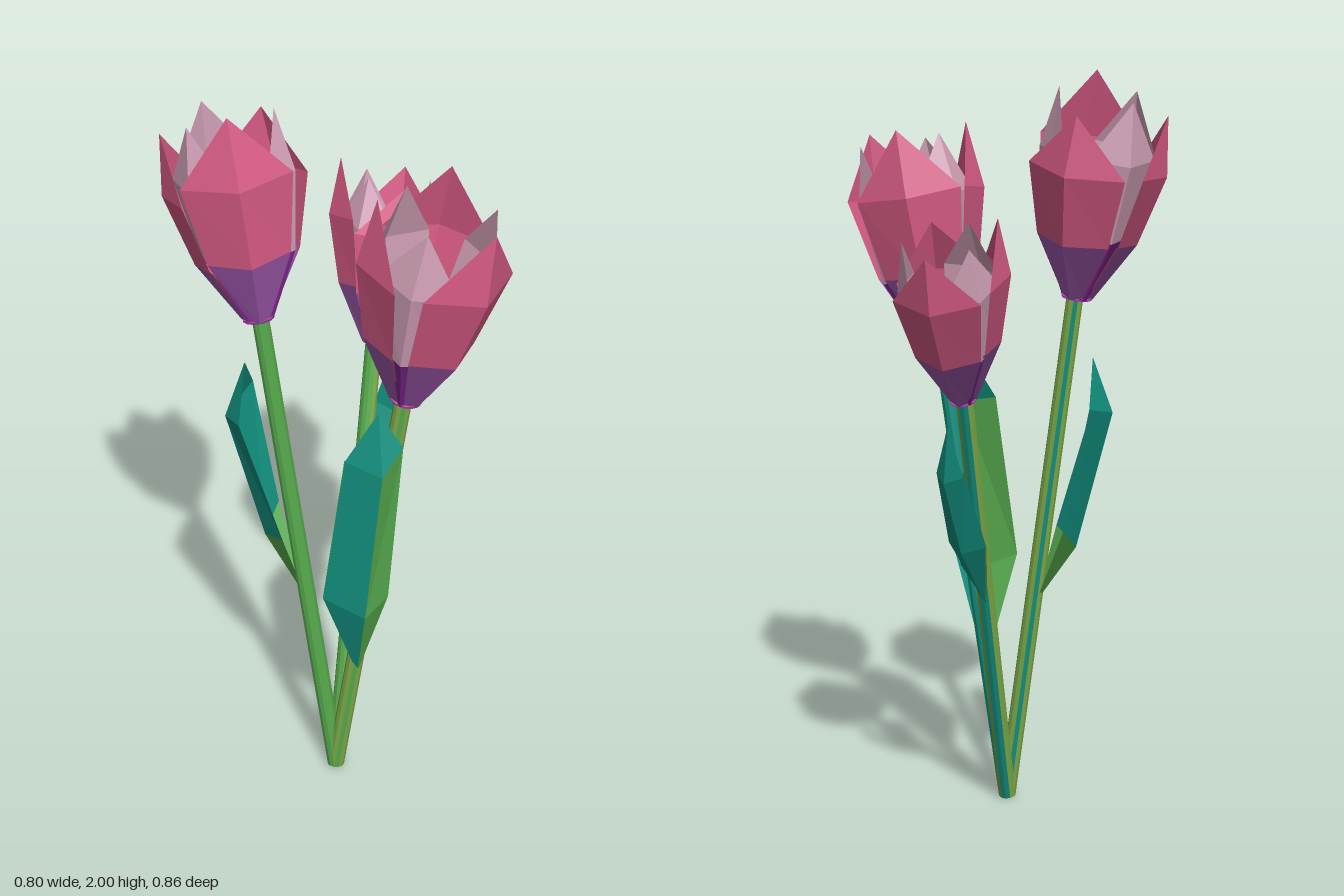
import * as THREE from 'three';

const mat = (name, color) =>
  new THREE.MeshStandardMaterial({ name, color, flatShading: true, side: THREE.DoubleSide });

export function createModel() {
  const M = {
    pink: mat('petal pink', 0xd95c86),
    pale: mat('pale pink', 0xd4a3ba),
    lilac: mat('light purple', 0xa05aae),
    purple: mat('deep purple', 0x8a2a9a),
    teal: mat('leaf teal', 0x12907f),
    green: mat('fresh green', 0x55a84c),
    olive: mat('olive green', 0x7fae4a),
  };
  const root = new THREE.Group();
  root.name = 'tulips';
  const UP = new THREE.Vector3(0, 1, 0);

  // Folded blade with rows of [left, mid, right], one material per strip half
  function blade(name, rows, mats) {
    const pos = [], geo = new THREE.BufferGeometry();
    const used = [...new Set(mats.flat())];
    for (let i = 0; i < rows.length - 1; i++) {
      for (let h = 0; h < 2; h++) {
        const a = rows[i], b = rows[i + 1], start = pos.length / 3;
        const q = [a[h], a[h + 1], b[h + 1], b[h]];
        for (const k of [0, 1, 2, 0, 2, 3]) pos.push(...q[k]);
        geo.addGroup(start, 6, used.indexOf(mats[i][h]));
      }
    }
    geo.setAttribute('position', new THREE.Float32BufferAttribute(pos, 3));
    geo.computeVertexNormals();
    const mesh = new THREE.Mesh(geo, used);
    mesh.name = name;
    return mesh;
  }
  const point = p => [p, p, p];

  // Twelve-sided stem with a colour letter for each side
  function stem(end, sides) {
    const a = new THREE.Vector3(-0.2, 0.006, 0), b = new THREE.Vector3(...end);
    const dir = b.clone().sub(a), geo = new THREE.CylinderGeometry(0.022, 0.024, dir.length(), 12);
    geo.clearGroups();
    [...sides].forEach((c, i) => geo.addGroup(i * 6, 6, 'otg'.indexOf(c)));
    geo.addGroup(72, 72, 2);
    const mesh = new THREE.Mesh(geo, [M.olive, M.teal, M.green]);
    mesh.name = 'stem';
    mesh.position.copy(a).add(b).multiplyScalar(0.5);
    mesh.quaternion.setFromUnitVectors(UP, dir.normalize());
    return mesh;
  }

  // One petal around the flower axis; profile entries are [height, radius, half angle]
  function petal(name, degrees, profile, stretch, main, base) {
    const phi = THREE.MathUtils.degToRad(degrees);
    const rowsAt = inset => profile.map(([y, r, half]) => [-half, 0, half].map(a => {
      const rad = (a ? r * 0.97 : r) - inset;
      return [rad * Math.cos(phi + a), (a ? y + 0.01 : y) * stretch, rad * Math.sin(phi + a)];
    }));
    const plain = [main, main], g = new THREE.Group();
    g.name = name;
    g.add(blade('petalBlade', rowsAt(0), [[base, base], plain, plain]));
    // Lining that hides the purple base from inside the cup
    g.add(blade('petalLining', rowsAt(0.006).slice(0, 2), [plain]));
    return g;
  }
  const OUTER = [[0, 0.042, 0.85], [0.185, 0.137, 0.9], [0.4, 0.187, 0.86], [0.58, 0.165, 0]];
  const INNER = [[0, 0.04, 1.0], [0.185, 0.124, 0.9], [0.4, 0.155, 0.75], [0.565, 0.125, 0]];

  // Cup of three outer petals at the given angles and three inner petals between them
  function flower(base, axis, angles, size, stretch) {
    const g = new THREE.Group();
    g.name = 'flower';
    angles.forEach((angle, i) => {
      const next = i < 2 ? angles[i + 1] : angles[0] + 360;
      g.add(petal('outerPetal', angle, OUTER, stretch[i], M.pink, M.lilac));
      g.add(petal('innerPetal', (angle + next) / 2, INNER, 0.97, M.pale, M.purple));
    });
    [[0, M.purple], [0.006, M.pink]].forEach(([y, m]) => {
      const floor = new THREE.Mesh(new THREE.CircleGeometry(0.042, 12), m);
      floor.name = 'flowerBase';
      floor.rotation.x = Math.PI / 2;
      floor.position.y = y;
      g.add(floor);
    });
    g.position.set(...base);
    g.quaternion.setFromUnitVectors(UP, new THREE.Vector3(...axis).normalize());
    g.scale.setScalar(size);
    return g;
  }

  // Stems
  root.add(stem([-0.118, 1.33, 0.18], 'oottttoooogo'));
  root.add(stem([-0.235, 1.46, -0.195], 'goootooogggg'));
  root.add(stem([0.14, 1.22, -0.132], 'ooottooggggo'));

  // Flowers
  root.add(flower([-0.115, 1.275, 0.175], [0.04, 1, 0.18], [102, 222, 325], 1, [1, 0.98, 0.98]));
  root.add(flower([-0.235, 1.42, -0.195], [0.02, 1, -0.18], [132, 232, 348], 0.97, [1, 0.88, 0.87]));
  root.add(flower([0.14, 1.195, -0.13], [0.32, 1, -0.13], [126, 228, 338], 0.81, [0.92, 1.02, 0.96]));

  // Leaves
  const { teal: t, green: n } = M;
  const allTeal = [[t, t], [t, t], [t, t]];
  const shifted = (rows, dx, dz) => rows.map(r => r.map(([x, y, z]) => [x + dx, y, z + dz]));

  const front = [
    point([-0.183, 0.37, 0.068]),
    [[-0.285, 0.68, 0.04], [-0.235, 0.63, 0.14], [-0.17, 0.68, 0.165]],
    [[-0.25, 1.12, 0.09], [-0.225, 1.1, 0.19], [-0.155, 1.16, 0.2]],
    point([-0.19, 1.26, 0.15])];
  root.add(blade('frontLeaf', front, [[t, n], [t, n], [t, t]]));
  root.add(blade('frontLeafInside', shifted(front.slice(0, 3), 0.005, -0.005), [[n, t], [n, t]]));

  root.add(blade('backLeaf', [
    point([-0.215, 0.58, -0.085]),
    [[-0.27, 0.79, -0.11], [-0.24, 0.75, -0.2], [-0.165, 0.81, -0.215]],
    [[-0.33, 1.15, -0.19], [-0.285, 1.12, -0.28], [-0.15, 1.15, -0.305]],
    point([-0.235, 1.27, -0.25])], [[n, n], [t, t], [t, t]]));

  root.add(blade('smallLeaf', [
    point([-0.03, 0.61, -0.07]),
    [[-0.035, 0.76, -0.04], [0.01, 0.72, -0.01], [0.05, 0.78, -0.04]],
    [[-0.028, 0.91, -0.045], [0.02, 0.86, 0], [0.068, 0.92, -0.015]],
    point([0.022, 1, -0.05])], allTeal));

  const side = [
    point([-0.01, 0.62, -0.08]),
    [[0.08, 0.8, -0.03], [0.095, 0.78, -0.085], [0.065, 0.8, -0.14]],
    [[0.15, 1, -0.05], [0.168, 0.98, -0.09], [0.15, 1, -0.14]],
    point([0.17, 1.13, -0.105])];
  root.add(blade('sideLeaf', side, allTeal));
  root.add(blade('sideLeafInside', shifted(side.slice(0, 3), -0.006, 0), [[n, n], [n, t]]));

  return root;
}
